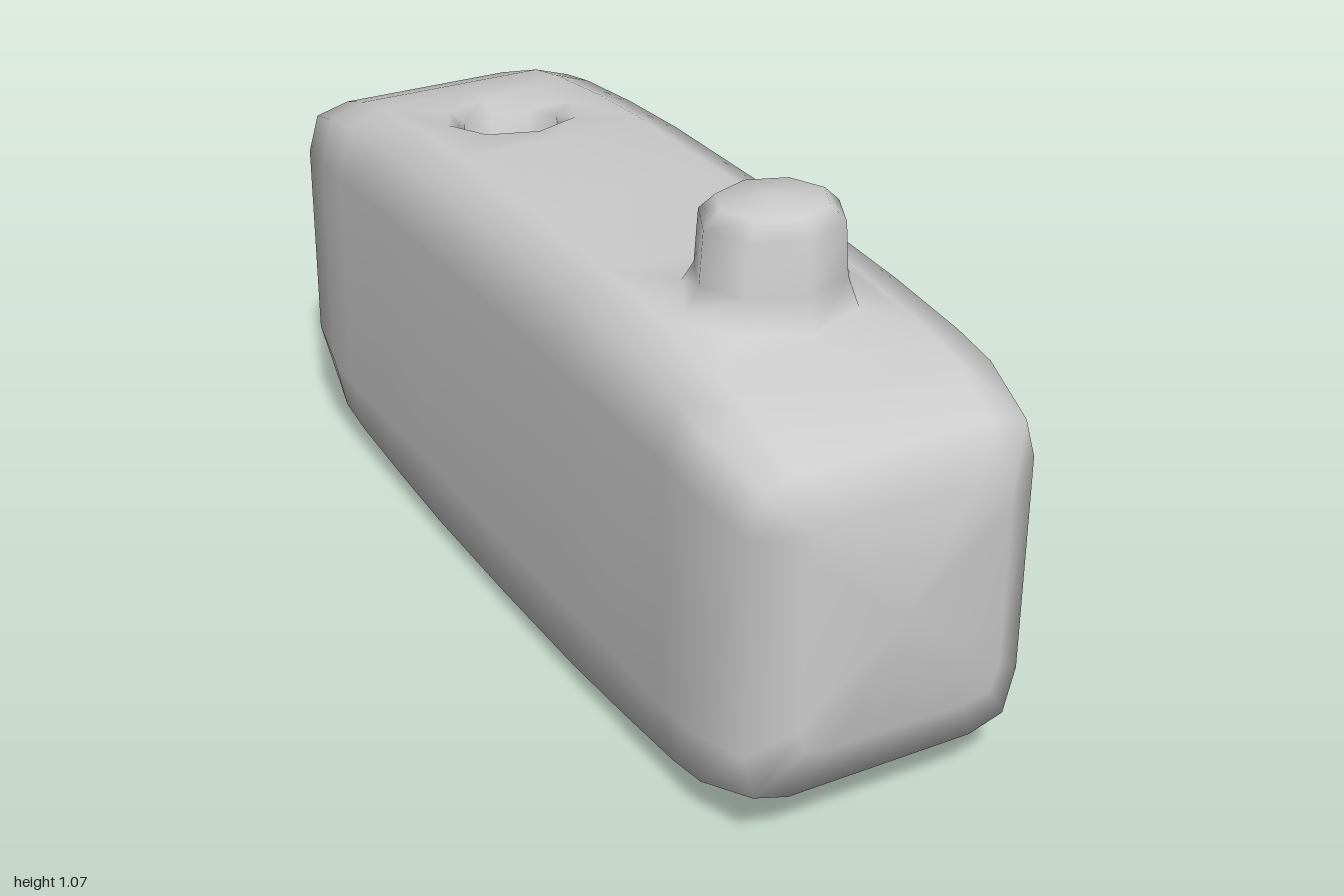
import * as THREE from 'three';

// Half of the body profile: z, half width, bottom, top, top and bottom of the flat side
const HALF = [
  [1.0, 0.21, 0.23, 0.69, 0.63, 0.29],
  [0.95, 0.29, 0.115, 0.77, 0.67, 0.23],
  [0.81, 0.315, 0.06, 0.82, 0.69, 0.21],
  [0.71, 0.315, 0.04, 0.84, 0.7, 0.2],
  [0.51, 0.315, 0.02, 0.862, 0.705, 0.2],
  [0.31, 0.315, 0.005, 0.873, 0.71, 0.2],
  [0.0, 0.315, 0.0, 0.875, 0.71, 0.2],
];
const POCKET_END = 0.41;

export function createModel() {
  const group = new THREE.Group();
  const positions = [];
  const add = (x, y, z) => positions.push(x, y, z) / 3 - 1;
  const point = (i) => positions.slice(i * 3, i * 3 + 3);
  const parts = { body: [], knob: [], topRecess: [], sidePocket: [] };

  const quad = (list, a, b, c, d) => list.push(a, b, c, a, c, d);
  // Join two loops that run counter-clockwise seen from outside
  const stitch = (list, outer, inner) => outer.forEach((a, k) => {
    const n = (k + 1) % outer.length;
    quad(list, a, outer[n], inner[n], inner[k]);
  });
  const fan = (list, loop, centre) =>
    loop.forEach((a, k) => list.push(a, loop[(k + 1) % loop.length], centre));

  // Rounded cross-sections from front to back
  const profile = [...HALF, ...HALF.slice(0, -1).reverse().map(([z, ...r]) => [-z, ...r])];
  const grid = profile.map(([z, w, yb, yt, st, sb]) => {
    const yTop = yt - 0.2 * (yt - st), yLow = yb + 0.2 * (sb - yb);
    // The two pocket rows spread to the pocket's ends
    const atPocketEnd = Math.abs(z) === 0.31;
    const pz = atPocketEnd ? Math.sign(z) * POCKET_END : z;
    const bulge = z === 0 ? 0.012 : 0;
    return [
      [w, sb], [w, 0.355 - bulge, pz], [w, 0.6 + bulge, pz], [w, st],
      [0.92 * w, yTop], [0.667 * w, yt], [0, yt], [-0.667 * w, yt], [-0.92 * w, yTop],
      [-w, st], [-w, sb],
      [-0.92 * w, yLow], [-0.667 * w, yb], [0, yb], [0.667 * w, yb], [0.92 * w, yLow],
    ].map(([x, y, zz = z]) => add(x, y, zz));
  });

  // Body skin, left open at the knob, recess and pocket
  const isOpen = (i, j) =>
    ((j === 5 || j === 6) && [3, 4, 7, 8].includes(i)) || (j === 1 && (i === 5 || i === 6));
  for (let i = 0; i < grid.length - 1; i++) {
    for (let j = 0; j < 16; j++) {
      if (isOpen(i, j)) continue;
      const n = (j + 1) % 16;
      quad(parts.body, grid[i][j], grid[i + 1][j], grid[i + 1][n], grid[i][n]);
    }
  }
  fan(parts.body, grid[0], add(0, 0.46, 1));
  fan(parts.body, [...grid[grid.length - 1]].reverse(), add(0, 0.46, -1));

  // Eight-sided rings rising from, or sinking into, an opening in the top
  const topHeight = (z) => {
    const i = Math.max(1, HALF.findIndex((h) => h[0] <= Math.abs(z)));
    const a = HALF[i - 1], b = HALF[i];
    return THREE.MathUtils.mapLinear(Math.abs(z), a[0], b[0], a[3], b[3]);
  };
  function octagonFeature(list, row, zc, squash, rings, tip) {
    let loop = [[row, 5], [row - 1 + 2, 5], [row + 1, 6], [row + 1, 7], [row, 7],
      [row - 1, 7], [row - 1, 6], [row - 1, 5]].map(([i, j]) => grid[i][j]);
    for (const [r, y, followsSurface] of rings) {
      const next = loop.map((_, k) => {
        const t = (k * Math.PI) / 4;
        const z = zc - r * squash * Math.sin(t);
        return add(r * Math.cos(t), followsSurface ? topHeight(z) + y : y, z);
      });
      stitch(list, loop, next);
      loop = next;
    }
    fan(list, loop, add(0, tip, zc));
  }
  octagonFeature(parts.knob, 4, 0.535, 0.89,
    [[0.17, 0.02, true], [0.147, 0.925], [0.14, 1.03], [0.108, 1.06]], 1.073);
  octagonFeature(parts.topRecess, 8, -0.51, 0.94,
    [[0.145, -0.004, true], [0.107, -0.03, true], [0.1, 0.76], [0.065, 0.72]], 0.71);

  // Side pocket with a crisp rim and a rounded floor: depth, inset
  let loop = [[5, 1], [6, 1], [7, 1], [7, 2], [6, 2], [5, 2]].map(([i, j]) => grid[i][j]);
  const rim = loop.map(point);
  [[0, 0], [0.02, 0.004], [0.12, 0.015], [0.15, 0.05]].forEach(([depth, inset], k) => {
    const next = rim.map(([x, y, z]) => add(
      x - depth, y + (y < 0.478 ? inset : -inset), z * (1 - inset / POCKET_END)));
    if (k > 0) stitch(parts.sidePocket, loop, next);
    loop = next;
  });
  fan(parts.sidePocket, loop, add(0.16, 0.478, 0));

  // One set of smooth normals shared by every part
  const whole = new THREE.BufferGeometry();
  whole.setAttribute('position', new THREE.Float32BufferAttribute(positions, 3));
  whole.setIndex(Object.values(parts).flat());
  whole.computeVertexNormals();

  const material = new THREE.MeshStandardMaterial({ color: 0xcccccc });
  for (const [name, index] of Object.entries(parts)) {
    const geometry = new THREE.BufferGeometry();
    geometry.setAttribute('position', whole.getAttribute('position'));
    geometry.setAttribute('normal', whole.getAttribute('normal'));
    geometry.setIndex(index);
    const mesh = new THREE.Mesh(geometry, material);
    mesh.name = name;
    group.add(mesh);
  }
  return group;
}
